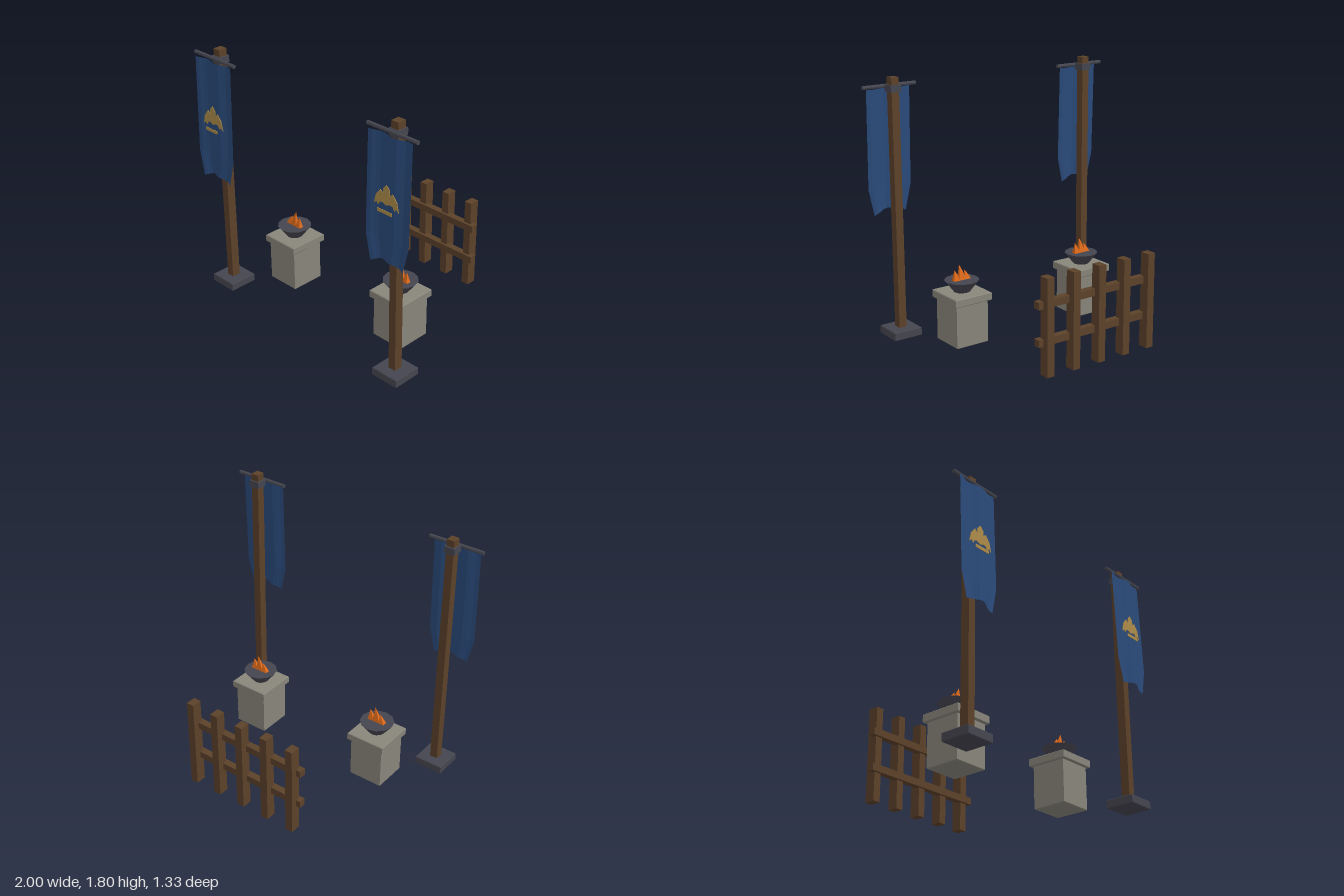
import * as THREE from 'three';

const mat = (name, color, opts = {}) => {
  const m = new THREE.MeshStandardMaterial({ color, flatShading: true, ...opts });
  m.name = name;
  return m;
};

export function createModel() {
  const wood = mat('wood', 0x5c4129);
  const stone = mat('stone', 0x88857a);
  const iron = mat('iron', 0x45454f);
  const cloth = mat('blue cloth', 0x2a4a7a, { side: THREE.DoubleSide });
  const gold = mat('gold', 0xad8b48);
  const fire = mat('fire', 0xdf6a1a);

  const model = new THREE.Group();
  model.name = 'campGate';

  const add = (parent, name, geo, material, x = 0, y = 0, z = 0) => {
    const mesh = new THREE.Mesh(geo, material);
    mesh.name = name;
    mesh.position.set(x, y, z);
    parent.add(mesh);
    return mesh;
  };
  const box = (parent, name, material, w, h, d, x, y, z) =>
    add(parent, name, new THREE.BoxGeometry(w, h, d), material, x, y, z);

  // Box with small chamfers, resting on y
  const bevelBox = (parent, name, material, w, h, d, y, z, b = 0.005) => {
    const s = new THREE.Shape();
    const x = w / 2 - b, k = d / 2 - b;
    s.moveTo(-x, -k).lineTo(x, -k).lineTo(x, k).lineTo(-x, k).closePath();
    const geo = new THREE.ExtrudeGeometry(s, {
      depth: h - 2 * b, bevelEnabled: true, bevelSize: b, bevelThickness: b, bevelSegments: 1,
    });
    geo.rotateX(-Math.PI / 2).translate(0, b, 0);
    return add(parent, name, geo, material, 0, y, z);
  };

  // Hanging cloth: wavy sheet, tapering to two tails with an arched hem
  const bannerGeometry = () => {
    const geo = new THREE.PlaneGeometry(2, 1, 12, 5);
    const p = geo.attributes.position;
    for (let i = 0; i < p.count; i++) {
      const u = p.getX(i);
      const row = Math.round((0.5 - p.getY(i)) * 5);
      const last = row === 5;
      const y = last ? 0.855 + 0.038 * (1 - u * u) : 1.72 - 0.17 * row;
      const z = 0.615 + 0.024 * (row / 5) + 0.012 * Math.sin(u * 5.2 + 0.6);
      p.setXYZ(i, u * (last ? 0.126 : 0.168), y, z);
    }
    geo.computeVertexNormals();
    return geo;
  };

  // Winged emblem, one half outlined and mirrored
  const emblemGeometry = () => {
    const half = [
      [0, 1.413], [0.026, 1.385], [0.028, 1.35], [0.05, 1.37], [0.085, 1.325],
      [0.1, 1.262], [0.08, 1.28], [0.066, 1.262], [0.05, 1.287], [0.03, 1.29], [0, 1.278],
    ];
    const mirrored = half.slice(1, -1).reverse().map(([x, y]) => [-x, y]);
    const s = new THREE.Shape([...half, ...mirrored].map(([x, y]) => new THREE.Vector2(x, y)));
    return new THREE.ExtrudeGeometry(s, { depth: 0.004, bevelEnabled: false });
  };

  // Four-sided tongue of flame whose tip leans sideways
  const flameGeometry = (w, h, lean) => {
    const geo = new THREE.CylinderGeometry(0.02, 1, 1, 4, 3);
    geo.rotateY(Math.PI / 4).scale(Math.SQRT1_2 * w, h, Math.SQRT1_2 * 0.036);
    geo.translate(0, h / 2, 0);
    const p = geo.attributes.position;
    for (let i = 0; i < p.count; i++) {
      p.setX(i, p.getX(i) + lean * (p.getY(i) / h) ** 2);
    }
    geo.computeVertexNormals();
    return geo;
  };

  for (const side of [-1, 1]) {
    const label = side > 0 ? 'left' : 'right';

    // Banner stand
    const stand = new THREE.Group();
    stand.name = label + 'BannerStand';
    stand.position.x = side * 0.8;
    model.add(stand);
    bevelBox(stand, 'standBase', iron, 0.21, 0.06, 0.206, 0, 0.55);
    box(stand, 'pole', wood, 0.056, 1.78, 0.062, 0, 0.91, 0.55);
    box(stand, 'poleBracket', iron, 0.078, 0.048, 0.082, 0, 1.727, 0.55);
    const bar = add(stand, 'crossbar', new THREE.CylinderGeometry(0.0135, 0.0135, 0.4, 8), iron, 0, 1.738, 0.6);
    bar.rotation.z = Math.PI / 2;
    add(stand, 'banner', bannerGeometry(), cloth);
    add(stand, 'wingedEmblem', emblemGeometry(), gold, 0, 0, 0.643);
    box(stand, 'emblemBar', gold, 0.118, 0.022, 0.004, 0, 1.241, 0.662);

    // Brazier on a stone pedestal
    const brazier = new THREE.Group();
    brazier.name = label + 'Brazier';
    brazier.position.set(side * 0.517, 0, 0.2);
    model.add(brazier);
    bevelBox(brazier, 'pedestal', stone, 0.25, 0.31, 0.25, 0, 0);
    bevelBox(brazier, 'pedestalCap', stone, 0.29, 0.056, 0.295, 0.302, 0);
    add(brazier, 'fireBowl', new THREE.CylinderGeometry(0.12, 0.057, 0.082, 12), iron, 0, 0.398, 0);
    [[-0.038, 0.05, 0.066, 0.016], [0.004, 0.058, 0.11, 0.016], [0.046, 0.05, 0.078, 0.012]]
      .forEach(([x, w, h, lean], i) =>
        add(brazier, 'flame' + (i + 1), flameGeometry(w, h, lean), fire, x, 0.437, 0));
  }

  // Palisade fence at the back
  const fence = new THREE.Group();
  fence.name = 'fence';
  model.add(fence);
  for (let i = -2; i <= 2; i++) {
    box(fence, 'fencePost', wood, 0.056, 0.664, 0.074, i * 0.209, 0.332, -0.63);
  }
  for (const y of [0.224, 0.476]) {
    box(fence, 'fenceRail', wood, 0.96, 0.05, 0.05, 0, y, -0.599);
  }

  return model;
}
